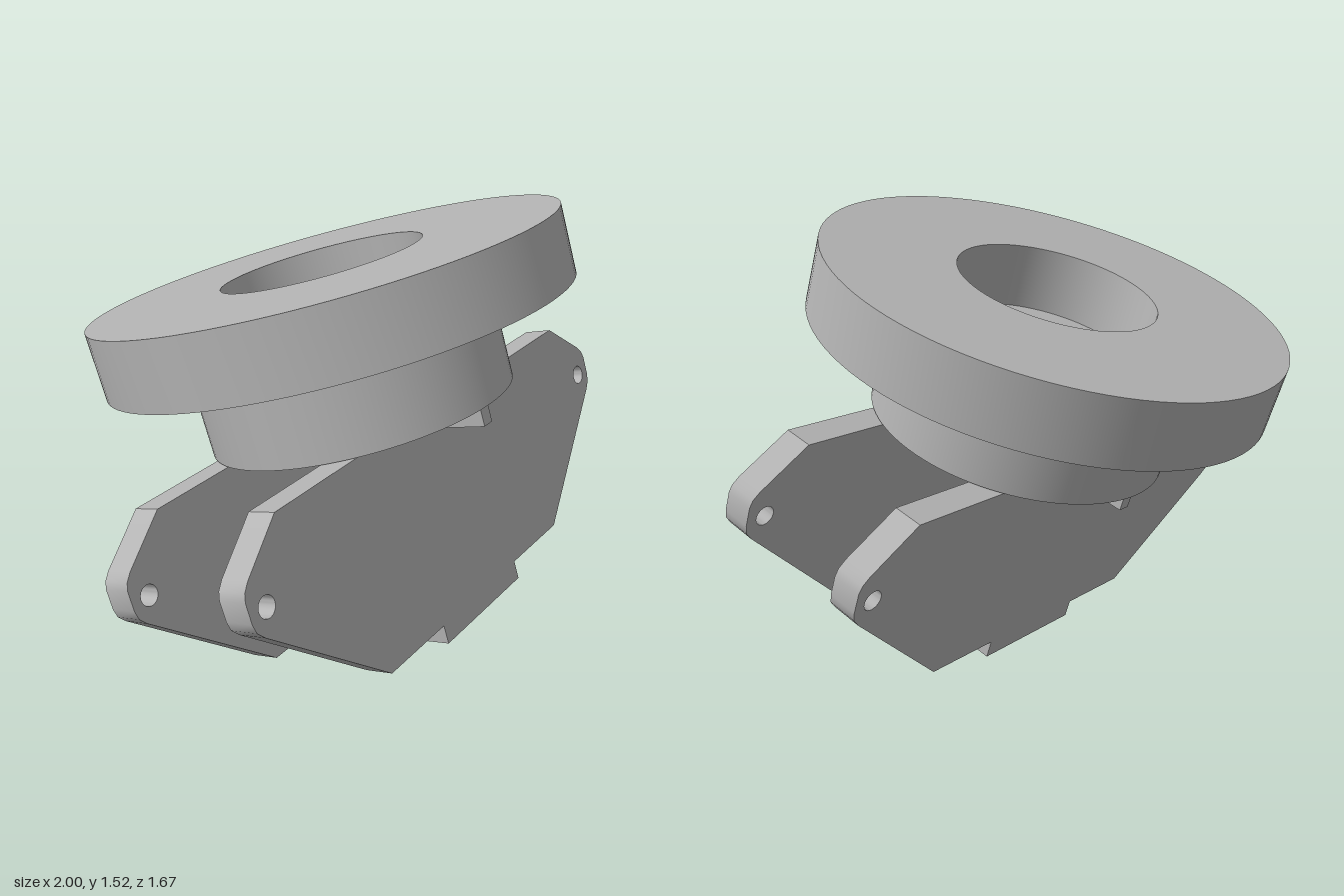
import * as THREE from 'three';
import { toCreasedNormals } from 'three/addons/utils/BufferGeometryUtils.js';

export function createModel() {
  const model = new THREE.Group();
  const grey = new THREE.MeshStandardMaterial({ color: 0xb4b4b4 });
  grey.name = 'grey';

  // Tilted working frame: origin at the centre of the flange top, y along its axis
  const assembly = new THREE.Group();
  assembly.name = 'tiltedAssembly';
  const up = new THREE.Vector3(-0.17, 0.955, -0.243).normalize();
  const along = new THREE.Vector3(0.875, 0.038, -0.482);
  along.addScaledVector(up, -along.dot(up)).normalize();
  const across = new THREE.Vector3().crossVectors(along, up);
  assembly.quaternion.setFromRotationMatrix(new THREE.Matrix4().makeBasis(along, up, across));
  assembly.position.set(-0.125, 1.29, -0.065);
  model.add(assembly);

  const add = (name, geometry, x = 0, y = 0, z = 0) => {
    const mesh = new THREE.Mesh(geometry, grey);
    mesh.name = name;
    mesh.position.set(x, y, z);
    assembly.add(mesh);
    return mesh;
  };

  // Flange ring with a central bore
  const T = 0.225, R = 0.788, BORE = 0.34;
  const ring = [[BORE, -T], [R, -T], [R, 0], [BORE, 0], [BORE, -T]]
    .map(([x, y]) => new THREE.Vector2(x, y));
  add('flange', toCreasedNormals(new THREE.LatheGeometry(ring, 96), 0.6));

  // Hub below the flange; its top closes the bore
  const hubBottom = -0.517;
  add('hub', new THREE.CylinderGeometry(0.516, 0.516, hubBottom * -1 - T, 96), 0, (hubBottom - T) / 2, 0);

  // Side plate outline, symmetric, with softly rounded ends and two pin holes
  const half = [[0.52, -1.185], [0.955, -0.816], [0.978, -0.79], [0.985, -0.76],
    [0.985, -0.695], [0.977, -0.67], [0.955, -0.646], [0.79, hubBottom - 0.004]];
  const outline = [...half, ...half.slice().reverse().map(([x, y]) => [-x, y])];
  const shape = new THREE.Shape(outline.map(([x, y]) => new THREE.Vector2(x, y)));
  for (const s of [-1, 1]) {
    const hole = new THREE.Path();
    hole.absarc(s * 0.917, -0.742, 0.033, 0, Math.PI * 2, true);
    shape.holes.push(hole);
  }
  const thickness = 0.1, outer = 0.293;
  const plate = toCreasedNormals(
    new THREE.ExtrudeGeometry(shape, { depth: thickness, bevelEnabled: false, curveSegments: 16 }), 0.5);
  add('frontPlate', plate, 0, 0, outer - thickness);
  add('backPlate', plate, 0, 0, -outer);

  // Small tabs standing out from each plate under the hub
  for (const [name, s] of [['frontTab', 1], ['backTab', -1]]) {
    add(name, new THREE.BoxGeometry(0.045, 0.064, 0.2), 0, hubBottom - 0.034, s * (outer + 0.098));
  }

  // Cross slab joining the plates at the bottom
  add('bottomSlab', new THREE.BoxGeometry(0.456, 0.065, outer * 2), 0, -1.2165, 0);

  return model;
}
